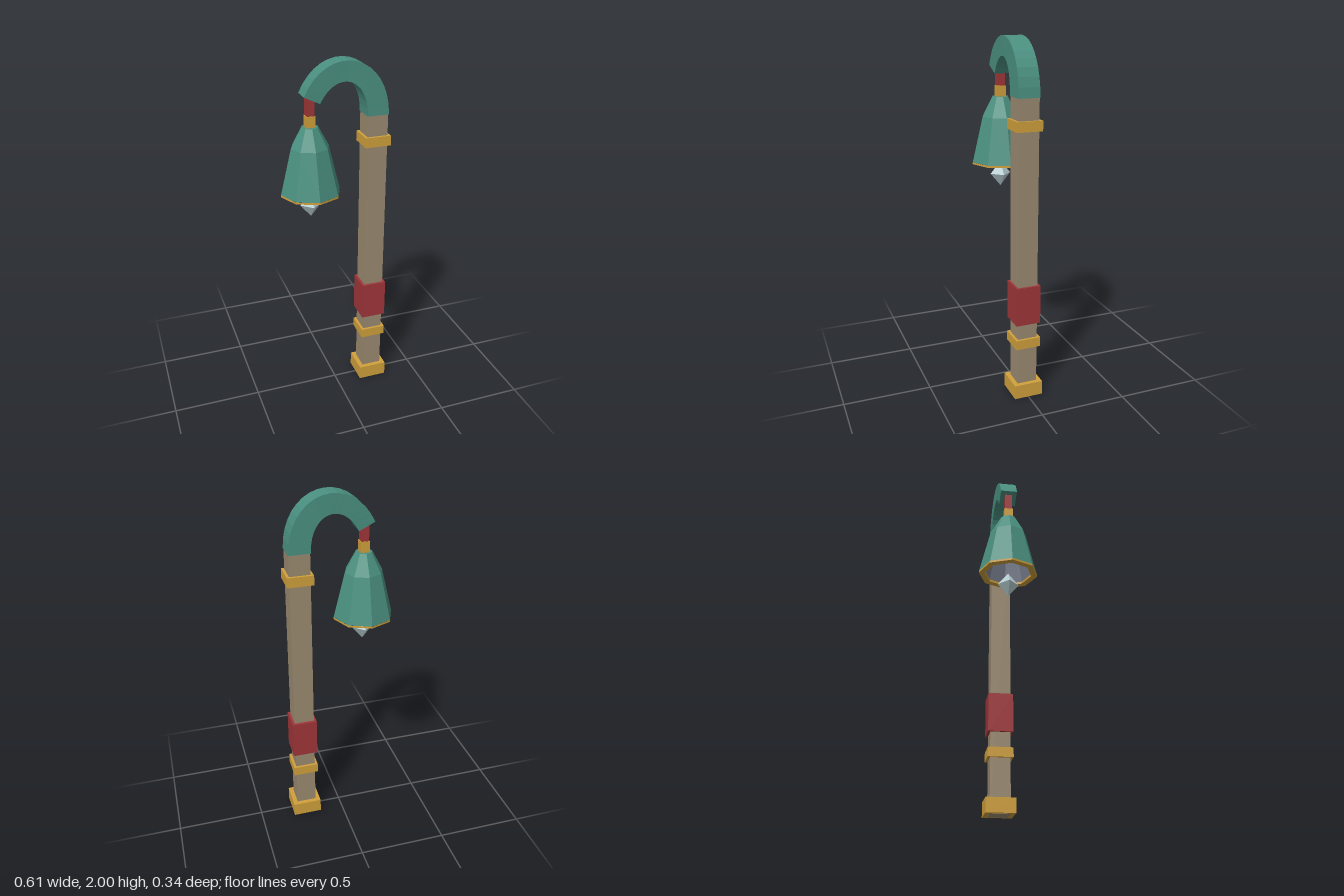
import * as THREE from 'three';

const mat = (name, color, side = THREE.FrontSide) => {
  const m = new THREE.MeshStandardMaterial({ color, side });
  m.name = name;
  return m;
};

// Faceted normals
function facet(geometry) {
  const g = geometry.index ? geometry.toNonIndexed() : geometry;
  g.computeVertexNormals();
  return g;
}

// Square beam bent along a planar curve, tapering in both directions
function bentBeam(curve, segments, startHalf, endHalf) {
  const pos = [], index = [];
  for (let i = 0; i <= segments; i++) {
    const t = i / segments;
    const p = curve.getPoint(t), d = curve.getTangent(t);
    const h = THREE.MathUtils.lerp(startHalf, endHalf, t);
    for (const [n, z] of [[1, 1], [-1, 1], [-1, -1], [1, -1]]) {
      pos.push(p.x + d.y * n * h, p.y - d.x * n * h, z * h);
    }
    if (i === segments) break;
    for (let j = 0; j < 4; j++) {
      const a = i * 4 + j, b = i * 4 + (j + 1) % 4;
      index.push(a, a + 4, b + 4, a, b + 4, b);
    }
  }
  const e = segments * 4;
  index.push(0, 1, 2, 0, 2, 3, e, e + 2, e + 1, e, e + 3, e + 2);
  const g = new THREE.BufferGeometry();
  g.setAttribute('position', new THREE.Float32BufferAttribute(pos, 3));
  g.setIndex(index);
  return facet(g);
}

export function createModel() {
  const model = new THREE.Group();
  model.name = 'hookedLampPost';

  const wood = mat('wood', 0x9a8a70);
  const gold = mat('gold', 0xd0a03c);
  const red = mat('red', 0xa0363a);
  const teal = mat('teal', 0x4a9080);
  const lining = mat('lining', 0x7e8494, THREE.DoubleSide);
  const crystal = mat('crystal', 0xb8ced2);

  const postX = 0.222, lampX = -0.14;
  const add = (name, geometry, material, x = 0, y = 0) => {
    const mesh = new THREE.Mesh(geometry, material);
    mesh.name = name;
    mesh.position.set(x, y, 0);
    model.add(mesh);
  };
  const block = (name, x, width, y0, y1, material) =>
    add(name, new THREE.BoxGeometry(width, y1 - y0, width), material, x, (y0 + y1) / 2);

  // Post with its base, bands and wrap
  block('post', postX, 0.114, 0, 1.71, wood);
  block('base', postX, 0.166, 0.002, 0.084, gold);
  block('lowerBand', postX, 0.144, 0.305, 0.36, gold);
  block('wrap', postX, 0.142, 0.45, 0.672, red);
  block('upperBand', postX, 0.144, 1.53, 1.585, gold);

  // Curved hook
  const path = new THREE.CubicBezierCurve(
    new THREE.Vector2(postX, 1.70), new THREE.Vector2(postX, 1.97),
    new THREE.Vector2(-0.03, 2.036), new THREE.Vector2(lampX, 1.81));
  add('hook', bentBeam(path, 16, 0.06, 0.048), teal);

  // Hanger
  block('hangerStrap', lampX, 0.042, 1.715, 1.84, red);
  block('hangerCollar', lampX, 0.05, 1.65, 1.72, gold);

  // Eight-sided bell shade, with corners on the axes
  const lathe = (name, profile, material) => add(name,
    facet(new THREE.LatheGeometry(profile.map(p => new THREE.Vector2(...p)), 8)), material, lampX);
  lathe('shade', [[0.167, 1.295], [0.105, 1.55], [0.046, 1.66], [0, 1.66]], teal);
  lathe('shadeRim', [[0.133, 1.297], [0.133, 1.284], [0.168, 1.284], [0.168, 1.295]], gold);
  lathe('shadeLining', [[0, 1.56], [0.07, 1.56], [0.134, 1.296]], lining);

  // Hanging crystal
  const gem = new THREE.OctahedronGeometry(1, 0);
  gem.scale(0.06, 0.073, 0.06);
  add('crystal', facet(gem), crystal, lampX, 1.218);

  return model;
}
